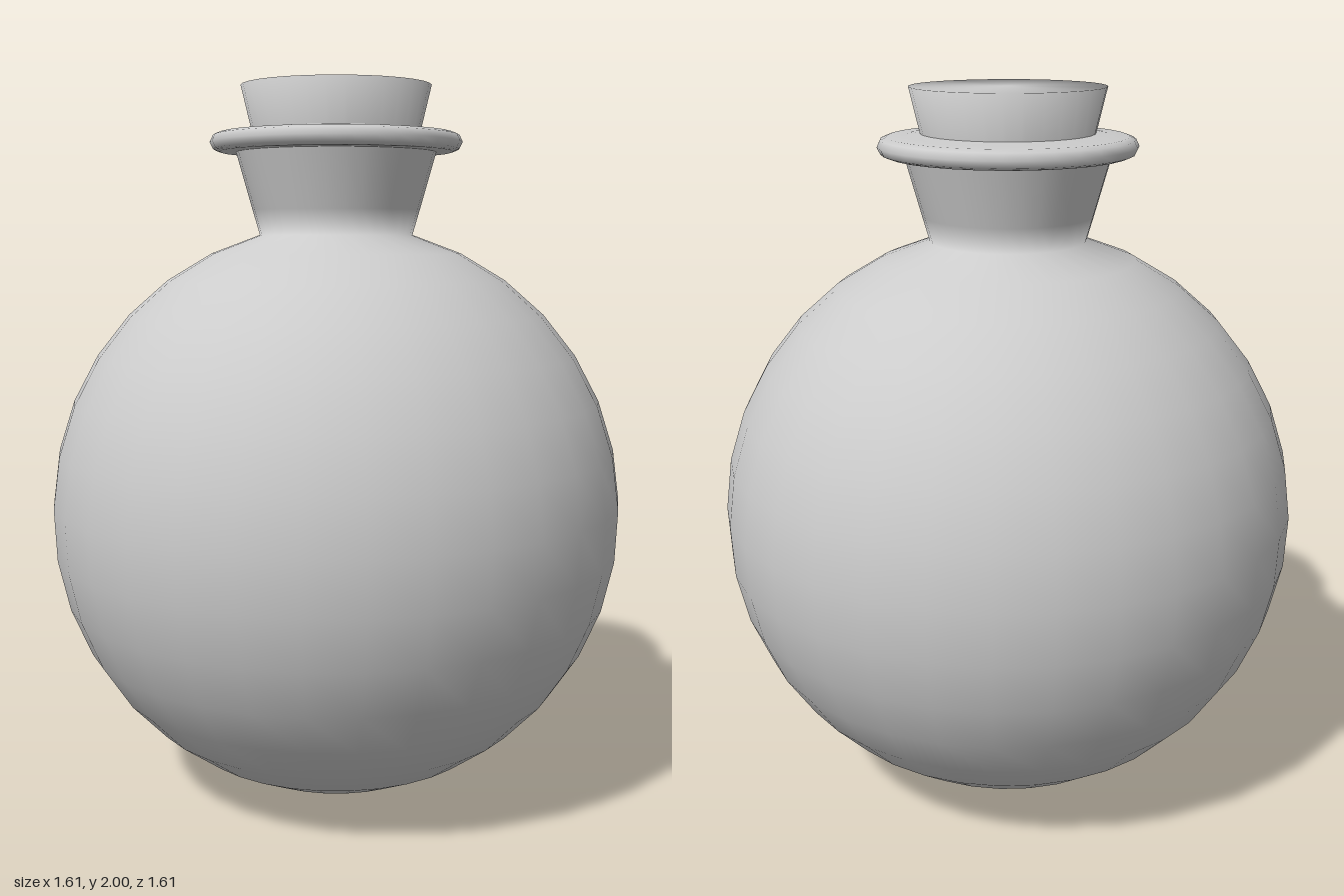
import * as THREE from 'three';
import { mergeVertices } from 'three/addons/utils/BufferGeometryUtils.js';

const SIDES = 32;

// Spin an [radius, height] profile, with smooth normals shared across all edges
function spin(name, profile) {
  const points = profile.map(([r, y]) => new THREE.Vector2(r, y));
  let geometry = new THREE.LatheGeometry(points, SIDES);
  geometry.deleteAttribute('normal');
  geometry.deleteAttribute('uv');
  geometry = mergeVertices(geometry, 1e-5);
  geometry.computeVertexNormals();
  const material = new THREE.MeshStandardMaterial({ color: 0xcccccc, side: THREE.DoubleSide });
  const mesh = new THREE.Mesh(geometry, material);
  mesh.name = name;
  return mesh;
}

export function createModel() {
  const group = new THREE.Group();
  group.name = 'roundFlask';

  // Round body, from the bottom pole up to the neck opening
  const body = [];
  const steps = 16, radius = 0.807, height = 0.81;
  const end = Math.PI - Math.asin(0.215 / radius);
  for (let i = 0; i <= steps; i++) {
    const a = (end * i) / steps;
    body.push([radius * Math.sin(a), height - height * Math.cos(a)]);
  }

  // Flared neck grows out of the body
  const neck = [[0.235, 1.66], [0.28, 1.82]];
  group.add(spin('bodyAndNeck', [...body, ...neck]));

  // Flattened rounded lip
  group.add(spin('lip', [
    [0.22, 1.82], [0.28, 1.818], [0.325, 1.819], [0.343, 1.826], [0.352, 1.845],
    [0.343, 1.864], [0.325, 1.871], [0.28, 1.874], [0.25, 1.878], [0.22, 1.88],
  ]));

  // Tapered stopper with a flat top
  group.add(spin('stopper', [[0, 1.62], [0.175, 1.62], [0.265, 2], [0, 2]]));

  return group;
}
